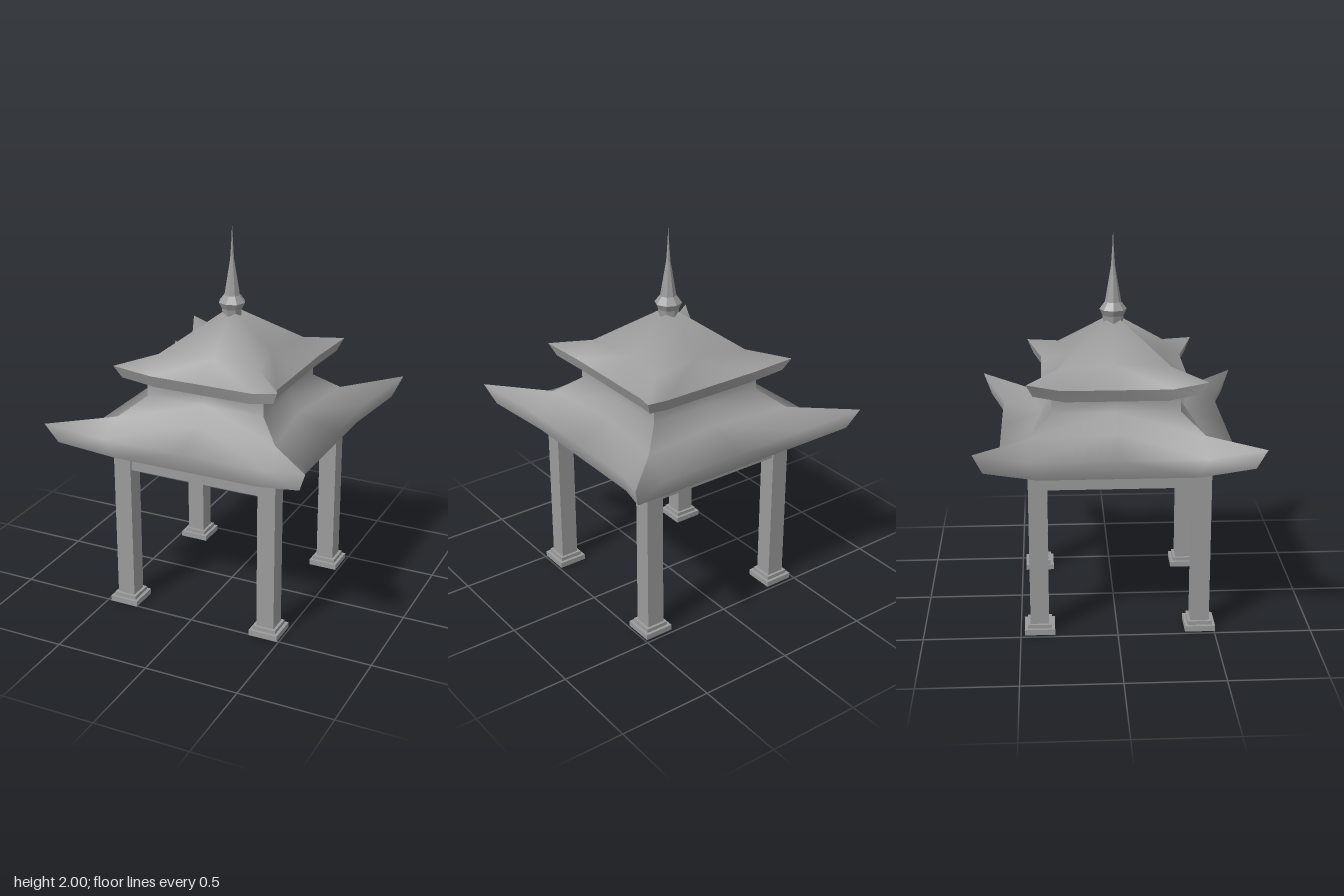
import * as THREE from 'three';
import { toCreasedNormals } from 'three/addons/utils/BufferGeometryUtils.js';

const grey = new THREE.MeshStandardMaterial({ color: 0x9b9b9b });
const greyFlat = new THREE.MeshStandardMaterial({ color: 0x9b9b9b, flatShading: true });

// Four-fold ring, four points per quarter: corner tip, side point, middle of
// the side, side point. The first point is repeated at the end to close it.
function ring(a, sideY, e, tip, tipY, mid = e) {
  const points = [];
  for (let k = 0; k < 4; k++) {
    for (let [x, y, z] of [[tip, tipY, tip], [e, sideY, a], [mid, sideY, 0], [e, sideY, -a]]) {
      for (let r = 0; r < k; r++) [x, z] = [z, -x];
      points.push(new THREE.Vector3(x, y, z));
    }
  }
  return [...points, points[0]];
}
// Square ring whose sides may be drawn in at the middle.
const square = (half, y, mid = half) => ring(half, y, half, half, y, mid);

// Skin between successive rows, top to bottom, mirrored about the middle of
// each side and without collapsed triangles.
function loft(rows, crease) {
  const pos = [];
  const tri = (a, b, c) => {
    if (new THREE.Triangle(a, b, c).getArea() > 1e-7) {
      for (const p of [a, b, c]) pos.push(p.x, p.y, p.z);
    }
  };
  for (let r = 0; r < rows.length - 1; r++) {
    const u = rows[r], l = rows[r + 1];
    for (let i = 0; i < u.length - 1; i++) {
      if (i % 4 < 2) {
        tri(u[i], l[i], u[i + 1]);
        tri(u[i + 1], l[i], l[i + 1]);
      } else {
        tri(u[i], l[i], l[i + 1]);
        tri(u[i], l[i + 1], u[i + 1]);
      }
    }
  }
  const geometry = new THREE.BufferGeometry();
  geometry.setAttribute('position', new THREE.Float32BufferAttribute(pos, 3));
  return toCreasedNormals(geometry, crease);
}

function add(parent, name, geometry, x = 0, y = 0, z = 0, material = grey) {
  const mesh = new THREE.Mesh(geometry, material);
  mesh.name = name;
  mesh.position.set(x, y, z);
  parent.add(mesh);
  return mesh;
}

// Underside of a roof, from the bottom edge of its eave to the centre.
function soffit(a, y, e, tip, tipY) {
  return loft([ring(a, y, e, tip, tipY), ring(a, y, e, (a + e) / 2, y), square(0, y)], 0.2);
}

export function createModel() {
  const model = new THREE.Group();
  model.name = 'pavilion';

  // Posts on stepped bases
  const xs = [-0.402, 0.411], zs = [-0.402, 0.427];
  for (const x of xs) {
    for (const z of zs) {
      const post = new THREE.Group();
      post.name = 'post';
      post.position.set(x, 0, z);
      add(post, 'baseSlab', new THREE.BoxGeometry(0.157, 0.03, 0.157), 0, 0.015);
      add(post, 'baseStep', new THREE.BoxGeometry(0.125, 0.02, 0.125), 0, 0.04);
      add(post, 'shaft', new THREE.BoxGeometry(0.096, 0.84, 0.096), 0, 0.46);
      model.add(post);
    }
  }

  // Beams joining the posts
  const midX = (xs[0] + xs[1]) / 2, midZ = (zs[0] + zs[1]) / 2;
  for (const z of zs) add(model, 'crossBeam', new THREE.BoxGeometry(0.74, 0.1, 0.075), midX, 0.832, z);
  for (const x of xs) add(model, 'sideBeam', new THREE.BoxGeometry(0.075, 0.1, 0.75), x, 0.832, midZ);

  // Lower roof: four smooth hollow sides meeting at sharp hips, with the neck above
  const lowerRoof = new THREE.Group();
  lowerRoof.name = 'lowerRoof';
  const lowerEdge = [0.4, 0.877, 0.55, 0.662, 0.96];
  const lowerSide = loft([
    square(0.325, 1.22), square(0.325, 1.15), square(0.44, 1.057, 0.38),
    ring(0.44, 0.985, 0.588, 0.708, 1.07), ring(...lowerEdge),
  ].map((row) => row.slice(0, 5)), Math.PI);
  for (let k = 0; k < 4; k++) add(lowerRoof, 'lowerRoofSide', lowerSide).rotation.y = k * Math.PI / 2;
  add(lowerRoof, 'lowerSoffit', soffit(...lowerEdge));
  model.add(lowerRoof);

  // Upper roof: smooth hollow top, sharp eave band
  const upperRoof = new THREE.Group();
  upperRoof.name = 'upperRoof';
  const upperEave = ring(0.28, 1.28, 0.375, 0.45, 1.335);
  const upperEdge = [0.26, 1.215, 0.352, 0.418, 1.267];
  add(upperRoof, 'upperRoofTop', loft([square(0, 1.585), square(0.28, 1.37, 0.225), upperEave], Math.PI));
  add(upperRoof, 'upperEaveBand', loft([upperEave, ring(...upperEdge)], 0.8));
  add(upperRoof, 'upperSoffit', soffit(...upperEdge));
  model.add(upperRoof);

  // Eight-sided finial: stem, bulge and needle
  const profile = [[0, 1.53], [0.05, 1.53], [0.055, 1.575], [0.071, 1.607], [0.042, 1.645], [0.011, 1.83], [0.004, 1.93], [0.001, 2], [0, 2]];
  add(model, 'finial', new THREE.LatheGeometry(profile.map(([r, y]) => new THREE.Vector2(r, y)), 8), 0, 0, 0, greyFlat);

  return model;
}
